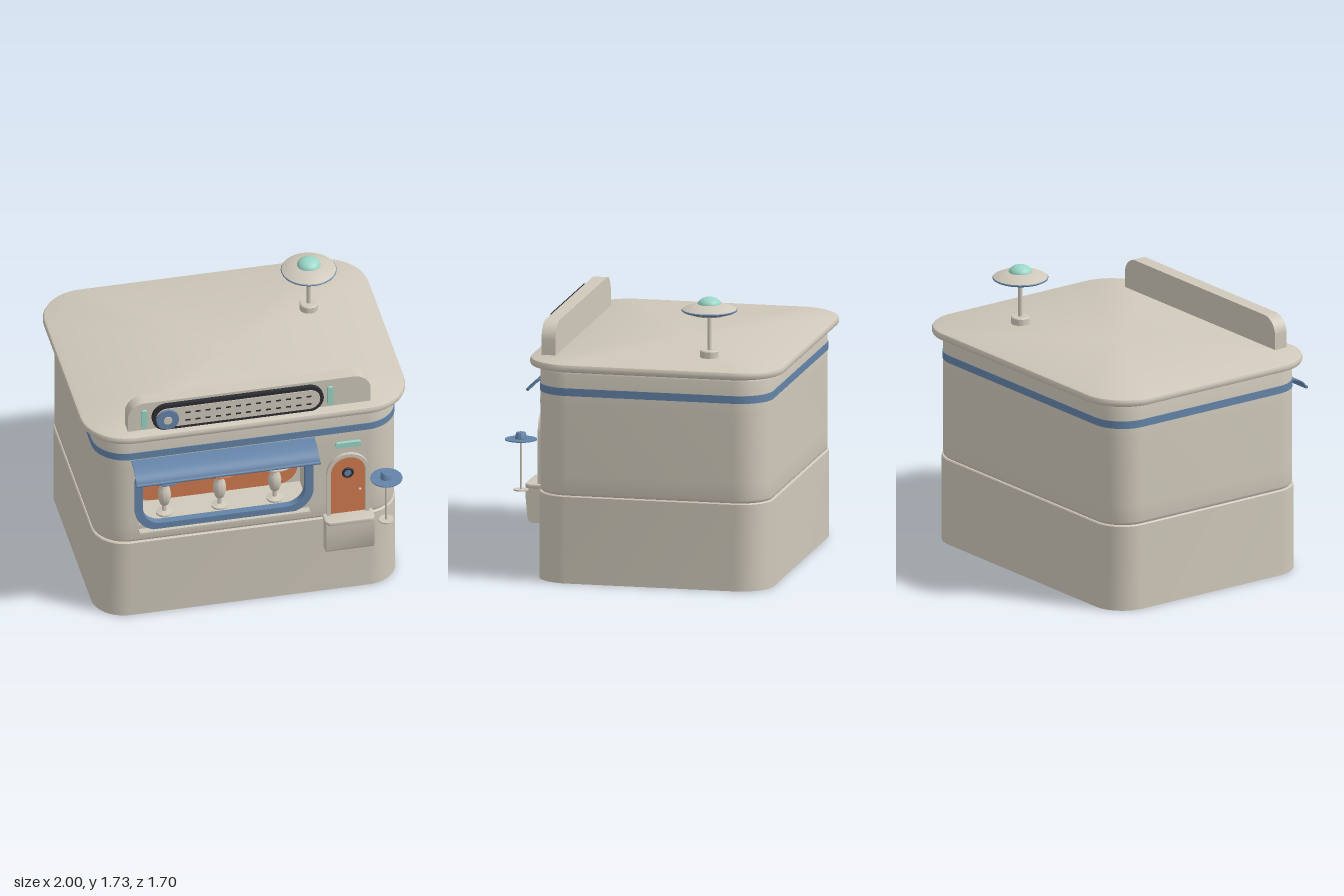
import * as THREE from 'three';
import { toCreasedNormals } from 'three/addons/utils/BufferGeometryUtils.js';

const material = (name, color, side = THREE.FrontSide) => {
  const m = new THREE.MeshStandardMaterial({ color, side });
  m.name = name;
  return m;
};

// Corner points of a rounded rectangle, counter-clockwise, always 4 * (steps + 1) of them
function roundedPoints(w, h, r, cx = 0, cy = 0, steps = 14) {
  const pts = [];
  [[1, -1], [1, 1], [-1, 1], [-1, -1]].forEach(([sx, sy], corner) => {
    for (let i = 0; i <= steps; i++) {
      const a = (corner - 1 + i / steps) * Math.PI / 2;
      pts.push(new THREE.Vector2(cx + sx * (w / 2 - r) + r * Math.cos(a), cy + sy * (h / 2 - r) + r * Math.sin(a)));
    }
  });
  return pts;
}
const roundedRect = (...args) => new THREE.Shape(roundedPoints(...args));

// Stack of rounded-rectangle rings, profile = [inset, y] from bottom to top
function slab(w, d, r, cz, profile) {
  const pos = [], index = [], n = 60;
  for (const [i, y] of profile)
    roundedPoints(w - 2 * i, d - 2 * i, r - i).forEach((p) => pos.push(p.x, y, cz - p.y));
  const last = (profile.length - 1) * n, centre = profile.length * n;
  pos.push(0, profile[0][1], cz, 0, profile.at(-1)[1], cz);
  for (let j = 0; j < n; j++) {
    const k = (j + 1) % n;
    for (let a = 0; a < last; a += n) index.push(a + j, a + k, a + n + k, a + j, a + n + k, a + n + j);
    index.push(centre, k, j, centre + 1, last + j, last + k);
  }
  const g = new THREE.BufferGeometry();
  g.setAttribute('position', new THREE.Float32BufferAttribute(pos, 3));
  g.setIndex(index);
  g.computeVertexNormals();
  return toCreasedNormals(g, 0.6);
}

// Extrusion facing the front, from z0 to z1
function plate(shape, z0, z1, bevel = 0) {
  const g = new THREE.ExtrudeGeometry(shape, {
    depth: z1 - z0 - 2 * bevel, curveSegments: 20, bevelEnabled: bevel > 0,
    bevelSize: bevel, bevelOffset: -bevel, bevelThickness: bevel, bevelSegments: 3,
  });
  return toCreasedNormals(g.translate(0, 0, z0 + bevel), 0.6);
}

// Extrusion of a (z, y) outline along x
function sideways(points, width, cx) {
  const g = new THREE.ExtrudeGeometry(new THREE.Shape(points), { depth: width, bevelEnabled: false });
  return toCreasedNormals(g.rotateY(-Math.PI / 2).translate(cx + width / 2, 0, 0), 0.6);
}

const lathe = (pts) =>
  toCreasedNormals(new THREE.LatheGeometry(pts.map(([r, y]) => new THREE.Vector2(r, y)), 36), 0.7);

// Upright outline with a semicircular top
function arch(cx, half, y0, top) {
  const pts = [new THREE.Vector2(cx - half, y0), new THREE.Vector2(cx + half, y0)];
  for (let i = 0; i <= 32; i++) {
    const a = i / 32 * Math.PI;
    pts.push(new THREE.Vector2(cx + half * Math.cos(a), top - half + half * Math.sin(a)));
  }
  return new THREE.Shape(pts);
}

export function createModel() {
  const root = new THREE.Group();
  root.name = 'hatShop';
  const cream = material('cream', 0xcfc8ba);
  const blue = material('slateBlue', 0x6484a8, THREE.DoubleSide);
  const orange = material('terracotta', 0xd17a50);
  const mint = material('mint', 0x9ad6c6);
  const dark = material('charcoal', 0x2c2d33);
  const add = (name, geometry, mat, x = 0, y = 0, z = 0, parent = root) => {
    const m = new THREE.Mesh(geometry, mat);
    m.name = name;
    m.position.set(x, y, z);
    parent.add(m);
    return m;
  };
  const zAxisCylinder = (r, h) => new THREE.CylinderGeometry(r, r, h, 32).rotateX(Math.PI / 2);

  // Building: plinth, walls with the window recess, stripe and roof
  const cz = -0.065, W = 1.856, D = 1.43, R = 0.2;
  add('plinth', slab(1.868, 1.442, 0.2, cz, [[0, 0], [0, 0.532], [0.006, 0.538]]), cream);
  add('lowerWall', slab(W, D, R, cz, [[0.012, 0.536], [0.003, 0.545], [0, 0.558], [0, 0.66]]), cream);
  const front = cz + D / 2, back = front - 0.23;
  const recess = [[-0.68, front], [-0.68, back], [0.36, back], [0.36, front]].map(([x, z]) => new THREE.Vector2(x, -z));
  const footprint = new THREE.Shape([...roundedPoints(W, D, R, 0, -cz), ...recess]);
  const middle = new THREE.ExtrudeGeometry(footprint, { depth: 0.43, bevelEnabled: false });
  add('windowWall', toCreasedNormals(middle.rotateX(-Math.PI / 2), 0.6), cream, 0, 0.66);
  add('upperWall', slab(W, D, R, cz, [[0, 1.09], [0, 1.285], [0.004, 1.3], [0.014, 1.312]]), cream);
  add('stripe', slab(W + 0.008, D + 0.008, R + 0.004, cz, [[0, 1.153], [0, 1.2]]), blue);
  add('roof', slab(2, 1.565, 0.28, -0.068,
    [[0.02, 1.308], [0.006, 1.314], [0, 1.326], [0, 1.342], [0.006, 1.354], [0.02, 1.36]]), cream);

  // Display window
  const wx = -0.16, wy = 0.872;
  const ring = roundedRect(1.1, 0.5, 0.16, wx, wy);
  ring.holes.push(new THREE.Path(roundedPoints(1, 0.405, 0.115, wx, wy)));
  add('windowFrame', plate(ring, 0.625, 0.672), blue);
  add('windowBackWall', plate(roundedRect(1.01, 0.415, 0.12, wx, wy), 0.419, 0.427), orange);
  add('windowSill', new THREE.BoxGeometry(1.05, 0.014, 0.05), cream, wx, 0.622, 0.67);

  // Curved awning with a rolled front edge
  const sweep = new THREE.QuadraticBezierCurve(
    new THREE.Vector2(0.645, 1.146), new THREE.Vector2(0.785, 1.14), new THREE.Vector2(0.81, 1.07)).getPoints(14);
  const under = sweep.map((p) => new THREE.Vector2(p.x - 0.004, p.y - 0.007)).reverse();
  add('awning', sideways([...sweep, ...under], 1.13, wx - 0.005), blue);
  add('awningRoll', new THREE.CylinderGeometry(0.01, 0.01, 1.135, 16).rotateZ(Math.PI / 2), blue, wx - 0.005, 1.069, 0.81);

  // Hats on turned display stands
  [[-0.505, blue], [-0.165, orange], [0.175, cream]].forEach(([x, hat], i) => {
    const stand = new THREE.Group();
    stand.name = 'hatStand';
    stand.position.set(x, 0, 0.56);
    root.add(stand);
    add('standBody', lathe([[0, 0.661], [0.05, 0.661], [0.05, 0.672], [0.014, 0.682], [0.013, 0.72], [0.026, 0.732],
      [0.038, 0.77], [0.04, 0.8], [0.034, 0.84], [0.02, 0.86], [0.02, 0.866], [0.032, 0.88], [0.038, 0.91],
      [0.034, 0.94], [0.02, 0.958], [0, 0.96]]), cream, 0, 0, 0, stand);
    add('hatBrim', new THREE.CylinderGeometry(0.132, 0.132, 0.006, 40), hat, 0, 0.954, 0, stand);
    add('hatBand', new THREE.CylinderGeometry(0.054, 0.056, 0.016, 32), dark, 0, 0.965, 0, stand);
    add('hatCrown', lathe([[0.053, 0.958], [0.052, 1], [0.046, 1.013], [0.03, 1.018], [0, 1.016]]), hat, 0, 0, 0, stand);
    if (i === 1) {
      const feather = add('feather', new THREE.SphereGeometry(1, 12, 8), mint, 0.05, 1, 0.045, stand);
      feather.scale.set(0.009, 0.048, 0.005);
      feather.rotation.z = 0.45;
    }
  });

  // Door
  const surround = arch(0.604, 0.13, 0.53, 1.0);
  surround.holes.push(arch(0.604, 0.106, 0.555, 0.977));
  add('doorFrame', plate(surround, 0.64, 0.672), cream);
  add('door', plate(arch(0.604, 0.108, 0.55, 0.979), 0.64, 0.658), orange);
  add('portholeRim', new THREE.TorusGeometry(0.029, 0.008, 10, 32), dark, 0.604, 0.856, 0.66);
  add('portholeGlass', zAxisCylinder(0.026, 0.008), blue, 0.604, 0.856, 0.658);
  add('doorKnob', new THREE.SphereGeometry(0.009, 14, 10), cream, 0.676, 0.728, 0.667);
  add('doorLamp', plate(roundedRect(0.16, 0.036, 0.017, 0.605, 1.068), 0.645, 0.67), mint);

  // Doorstep
  const step = [[0.64, 0.325], [0.705, 0.325], [0.722, 0.332], [0.731, 0.35], [0.744, 0.5], [0.744, 0.54], [0.64, 0.54]];
  add('doorstep', sideways(step.map((p) => new THREE.Vector2(...p)), 0.296, 0.603), cream);
  const tread = roundedRect(0.306, 0.13, 0.035, 0.603, -0.685);
  add('doorstepTread', plate(tread, 0.537, 0.562, 0.006).rotateX(-Math.PI / 2), cream);

  // Hat on a pole beside the door
  const pole = new THREE.Group();
  pole.name = 'outdoorHatStand';
  pole.position.set(0.82, 0, 0.755);
  root.add(pole);
  add('poleFoot', new THREE.CylinderGeometry(0.045, 0.045, 0.008, 32), cream, 0, 0.541, 0, pole);
  add('pole', new THREE.CylinderGeometry(0.007, 0.007, 0.31, 16), cream, 0, 0.695, 0, pole);
  add('poleHatBrim', new THREE.CylinderGeometry(0.097, 0.097, 0.006, 40), blue, 0, 0.851, 0, pole);
  add('poleHatCrown', lathe([[0.037, 0.852], [0.031, 0.887], [0.026, 0.894], [0, 0.892]]), blue, 0, 0, 0, pole);

  // Roof sign board with a plain dashed panel
  const board = new THREE.Shape();
  board.moveTo(-0.748, 1.35);
  board.lineTo(0.748, 1.35);
  board.absarc(0.643, 1.45, 0.105, 0, Math.PI / 2);
  board.absarc(-0.643, 1.45, 0.105, Math.PI / 2, Math.PI);
  add('signBoard', plate(board, 0.558, 0.645), cream);
  add('signRim', plate(roundedRect(1.056, 0.18, 0.089, -0.075, 1.448), 0.64, 0.672), dark);
  add('signPanel', plate(roundedRect(1.01, 0.136, 0.067, -0.075, 1.448), 0.67, 0.677), cream);
  add('signDisc', zAxisCylinder(0.069, 0.024), blue, -0.512, 1.442, 0.68);
  add('signDiscBoss', zAxisCylinder(0.026, 0.012), cream, -0.512, 1.442, 0.694);
  for (const y of [1.474, 1.418])
    for (let i = 0; i < 13; i++)
      add('signDash', new THREE.BoxGeometry(0.03, 0.009, 0.006), dark, -0.385 + i * 0.062, y, 0.678);
  for (const x of [-0.65, 0.497])
    add('signLamp', plate(roundedRect(0.035, 0.13, 0.012, x, 1.443), 0.64, 0.663), mint);

  // Saucer on a mast
  const mast = new THREE.Group();
  mast.name = 'roofSaucer';
  mast.position.set(0.585, 0, -0.355);
  root.add(mast);
  add('mastFoot', lathe([[0.056, 1.355], [0.056, 1.398], [0.05, 1.404], [0, 1.404]]), cream, 0, 0, 0, mast);
  add('mast', new THREE.CylinderGeometry(0.013, 0.013, 0.24, 20), cream, 0, 1.51, 0, mast);
  add('saucerBottom', lathe([[0, 1.609], [0.05, 1.611], [0.1, 1.62], [0.158, 1.64]]), cream, 0, 0, 0, mast);
  add('saucerRim', lathe([[0.156, 1.639], [0.167, 1.645], [0.169, 1.65], [0.164, 1.655]]), blue, 0, 0, 0, mast);
  add('saucerTop', lathe([[0.165, 1.655], [0.13, 1.672], [0.09, 1.685], [0.05, 1.691], [0, 1.692]]), cream, 0, 0, 0, mast);
  const dome = add('saucerDome', new THREE.SphereGeometry(0.072, 32, 12, 0, Math.PI * 2, 0, Math.PI / 2), mint, 0, 1.682, 0, mast);
  dome.scale.y = 0.66;

  return root;
}
